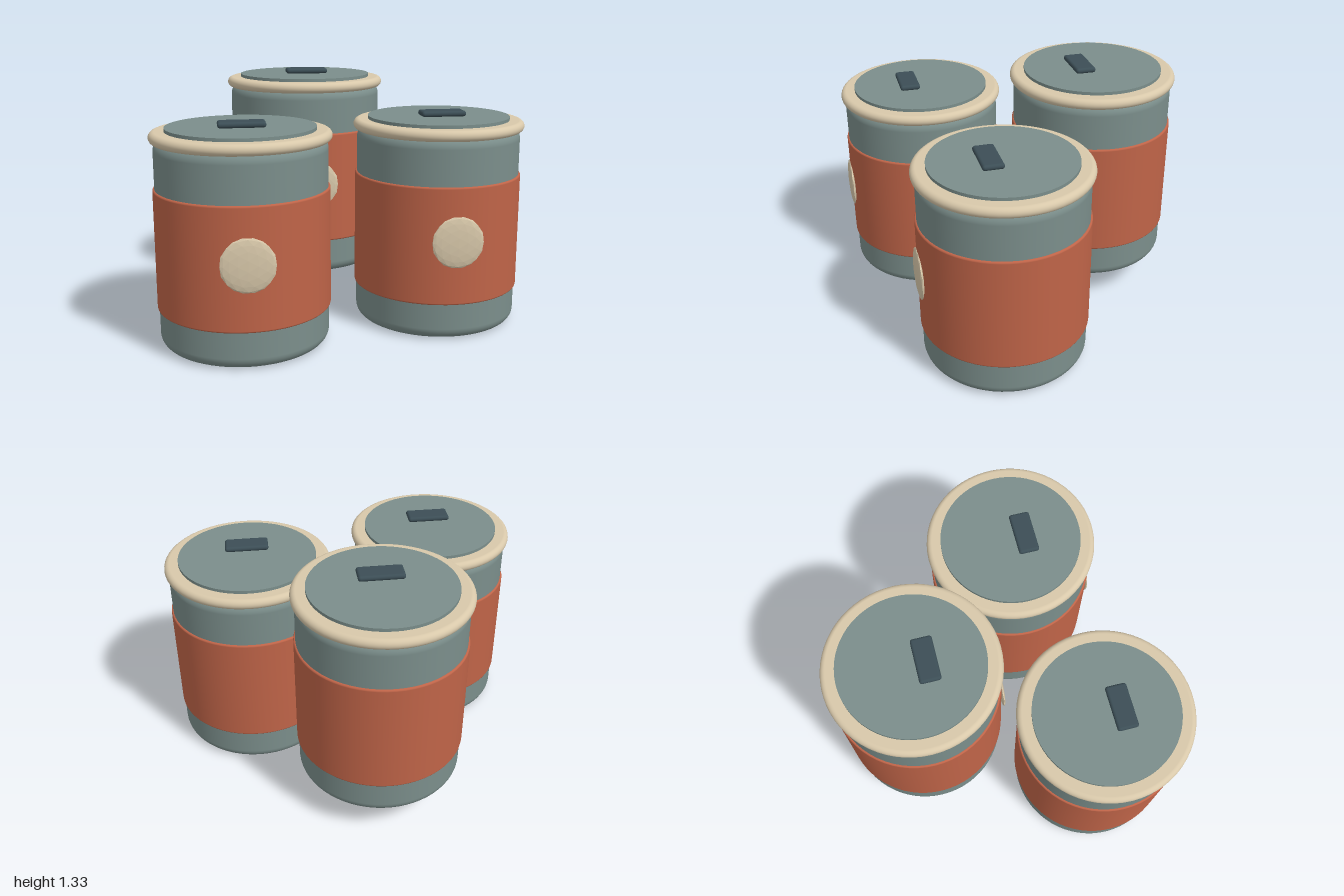
import * as THREE from 'three';
import { RoundedBoxGeometry } from 'three/addons/geometries/RoundedBoxGeometry.js';

const material = (name, color) => {
  const m = new THREE.MeshStandardMaterial({ color });
  m.name = name;
  return m;
};

// Solid drum with rounded top and bottom edges, turned around y
function drum(radius, bottom, top, round) {
  const points = [new THREE.Vector2(0, bottom)];
  const steps = 8;
  for (const [cy, start] of [[bottom + round, -Math.PI / 2], [top - round, 0]]) {
    for (let i = 0; i <= steps; i++) {
      // skip the repeated middle point of a fully round edge
      if (start === 0 && i === 0 && top - bottom - 2 * round < 1e-4) continue;
      const a = start + (i / steps) * Math.PI / 2;
      points.push(new THREE.Vector2(radius - round + Math.cos(a) * round, cy + Math.sin(a) * round));
    }
  }
  points.push(new THREE.Vector2(0, top));
  return new THREE.LatheGeometry(points, 64);
}

export function createModel() {
  const enamel = material('grey green enamel', 0x7b8e8b);
  const clay = material('terracotta', 0xbf6448);
  const cream = material('cream', 0xd8c8aa);
  const slate = material('dark slate', 0x3c4e56);

  const badgeGeometry = new THREE.IcosahedronGeometry(0.137, 2);
  badgeGeometry.scale(1, 1, 0.125);
  badgeGeometry.computeVertexNormals(); // faceted

  const parts = [
    ['body', drum(0.44, 0, 1.07, 0.06), enamel, [0, 0, 0]],
    ['band', drum(0.45, 0.195, 0.82, 0.01), clay, [0, 0, 0]],
    ['rim', drum(0.46, 1.05, 1.108, 0.029), cream, [0, 0, 0]],
    ['lid', new THREE.CylinderGeometry(0.382, 0.382, 0.03, 64), enamel, [0, 1.11, 0]],
    ['handle', new RoundedBoxGeometry(0.24, 0.03, 0.112, 3, 0.0145), slate, [0, 1.146, 0.075]],
    ['badge', badgeGeometry, cream, [0, 0.533, 0.45]],
  ];

  const model = new THREE.Group();
  model.name = 'canisterSet';

  // Two canisters stand at the front, one is raised at the back
  const places = [
    ['rightCanister', -0.54, 0, 0.448],
    ['leftCanister', 0.537, 0, 0.225],
    ['backCanister', -0.113, 0.172, -0.457],
  ];
  for (const [name, x, y, z] of places) {
    const canister = new THREE.Group();
    canister.name = name;
    canister.position.set(x, y, z);
    for (const [part, geometry, mat, position] of parts) {
      const mesh = new THREE.Mesh(geometry, mat);
      mesh.name = part;
      mesh.position.set(...position);
      canister.add(mesh);
    }
    model.add(canister);
  }
  return model;
}
